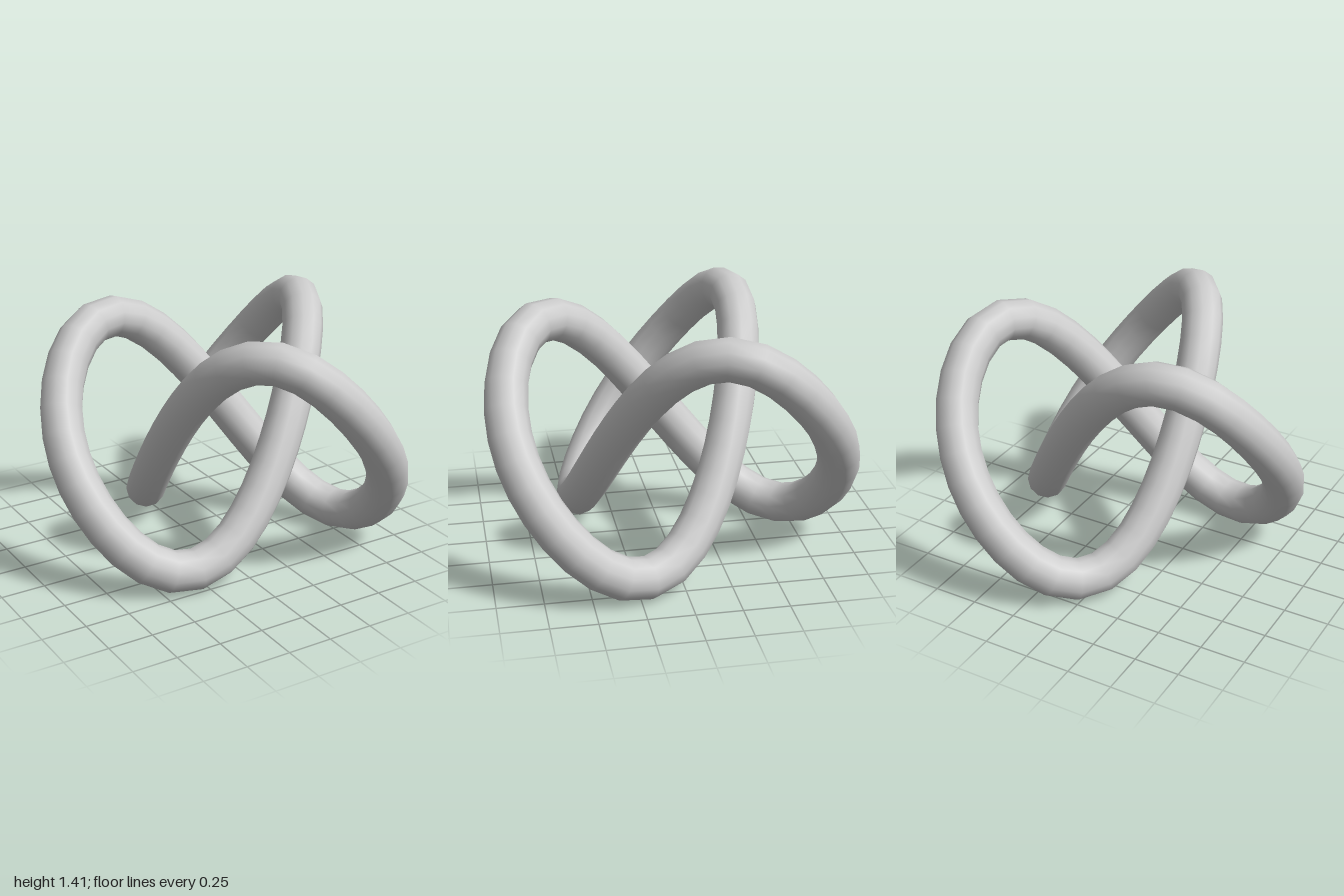
import * as THREE from 'three';

// Three-lobed closed knot centreline, lying around the vertical axis
class KnotCurve extends THREE.Curve {
  getPoint(u, target = new THREE.Vector3()) {
    const t = u * Math.PI * 2;
    const big = 0.66, small = 0.3025;
    return target.set(
      0.143 - (big * Math.cos(2 * t) + small * Math.cos(t)),
      0.705 + 0.576 * Math.sin(3 * t) - 0.066 * Math.sin(6 * t),
      -(big * Math.sin(2 * t) - small * Math.sin(t))
    );
  }
}

export function createModel() {
  const group = new THREE.Group();
  group.name = 'trefoilKnot';

  // Round tube swept along the closed centreline
  const tube = new THREE.Mesh(
    new THREE.TubeGeometry(new KnotCurve(), 80, 0.115, 12, true),
    new THREE.MeshStandardMaterial({ color: 0xcccccc })
  );
  tube.name = 'knotTube';
  group.add(tube);
  return group;
}
